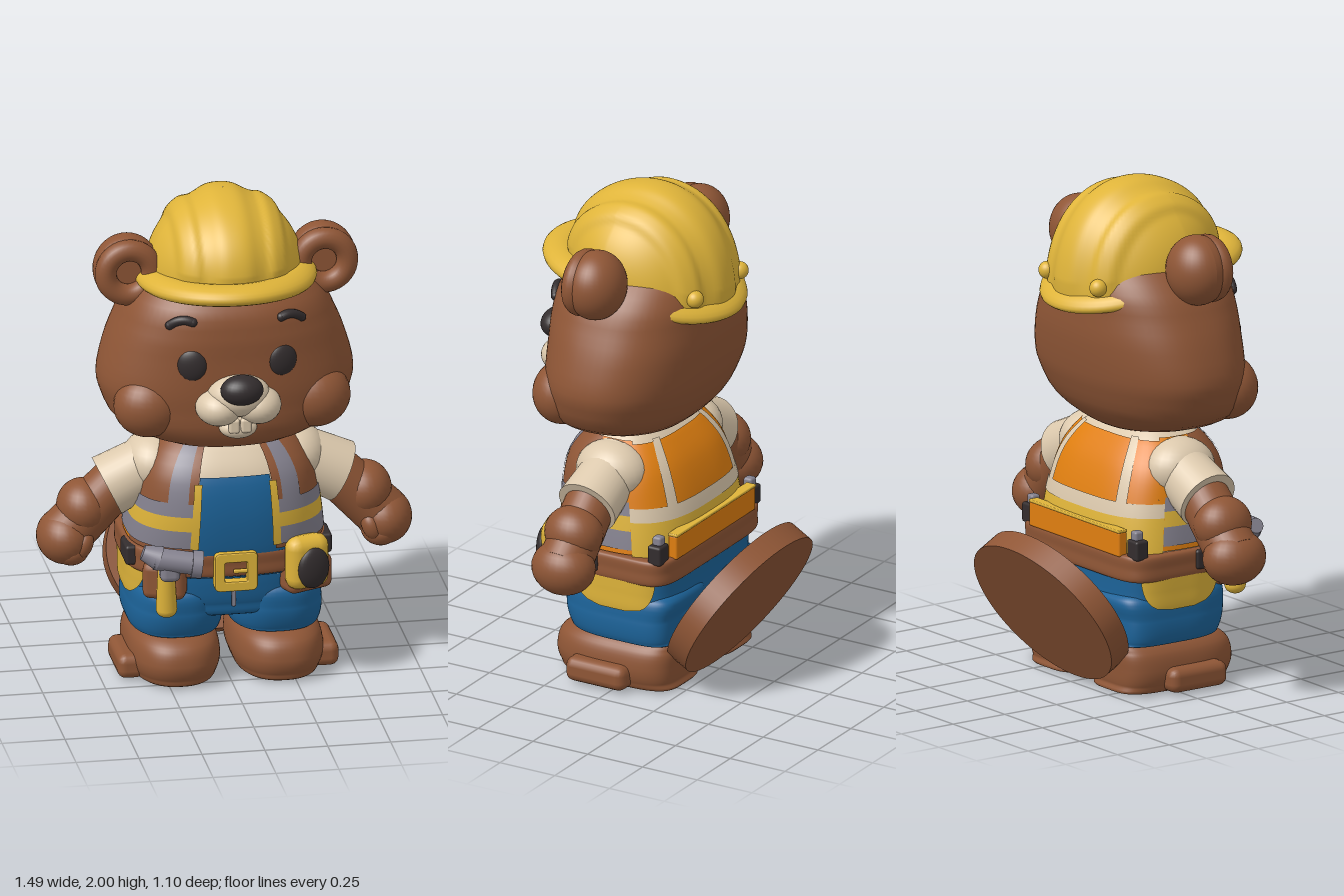
import * as THREE from 'three';
import { ParametricGeometry } from 'three/addons/geometries/ParametricGeometry.js';
import { RoundedBoxGeometry } from 'three/addons/geometries/RoundedBoxGeometry.js';

const mat = (name, color) => Object.assign(new THREE.MeshStandardMaterial({ color }), { name });
const V = (x, y, z) => new THREE.Vector3(x, y, z);

// Catmull-Rom interpolation through rows of numbers, t in 0..1
function rowAt(rows, t) {
  const n = rows.length - 1, s = Math.min(Math.max(t, 0), 1) * n;
  const i = Math.min(Math.floor(s), n - 1), f = s - i;
  const [a, b, c, d] = [rows[Math.max(i - 1, 0)], rows[i], rows[i + 1], rows[Math.min(i + 2, n)]];
  return b.map((p, k) => p + 0.5 * f * (c[k] - a[k] + f * (2 * a[k] - 5 * p + 4 * c[k] - d[k] + f * (3 * (p - c[k]) + d[k] - a[k]))));
}

// Body surface from rows [y, half width, front z, back z]; nf and nb set the squareness of front and back
function surface(rows, nf, nb) {
  const pow = (v, e) => Math.sign(v) * Math.pow(Math.abs(v), e);
  const at = (a, t, off, target) => {
    const [y, rx, zf, zb] = rowAt(rows, t), c = Math.cos(a), e = 2 / (c >= 0 ? nf : nb);
    return target.set((Math.max(rx, 0.004) + off) * pow(Math.sin(a), e), y,
      (zf + zb) / 2 + (Math.max((zf - zb) / 2, 0.004) + off) * pow(c, e));
  };
  const tOf = (y) => {
    let lo = 0, hi = 1;
    for (let i = 0; i < 30; i++) { const m = (lo + hi) / 2; if (rowAt(rows, m)[0] < y) lo = m; else hi = m; }
    return lo;
  };
  return {
    geometry: () => new ParametricGeometry((u, v, p) => at(u * 2 * Math.PI, v, 0, p), 72, 30),
    // thin panel lying on the surface; map(u, v) gives [angle, y]
    panel: (map, off) => new ParametricGeometry((u, v, p) => { const [a, y] = map(u, v); at(a, tOf(y), off, p); }, 24, 12),
  };
}

export function createModel() {
  const root = new THREE.Group();
  root.name = 'builderBear';
  const brown = mat('brown', 0x8f5636), yellow = mat('yellow', 0xdfb43a), cream = mat('cream', 0xdcc9ad);
  const dark = mat('charcoal', 0x332d2e), blue = mat('blue', 0x1c6399), grey = mat('grey', 0x85828f);
  const orange = mat('orange', 0xe07f10);

  const add = (name, geo, m, pos = [0, 0, 0], rot = [0, 0, 0]) => {
    const mesh = new THREE.Mesh(geo, m);
    mesh.name = name;
    mesh.position.set(...pos);
    mesh.rotation.set(...rot);
    root.add(mesh);
    return mesh;
  };
  const ball = (name, m, pos, size, rot) => {
    const b = add(name, new THREE.SphereGeometry(1, 28, 18), m, pos, rot);
    b.scale.set(...size);
  };
  const box = (name, m, pos, size, r, rot) => add(name, new RoundedBoxGeometry(...size, 2, r), m, pos, rot);
  const limb = (name, m, p, q, r1, r2) => {
    const l = add(name, new THREE.CylinderGeometry(r2, r1, p.distanceTo(q), 32, 1), m);
    l.position.copy(p).lerp(q, 0.5);
    l.quaternion.setFromUnitVectors(V(0, 1, 0), q.clone().sub(p).normalize());
  };

  // Head
  const head = surface([[1.0, 0.005, 0.1, 0.09], [1.005, 0.15, 0.27, -0.04], [1.03, 0.3, 0.35, -0.1],
    [1.1, 0.44, 0.39, -0.17], [1.2, 0.495, 0.4, -0.215], [1.28, 0.505, 0.405, -0.235], [1.4, 0.475, 0.405, -0.25],
    [1.5, 0.435, 0.405, -0.25], [1.6, 0.385, 0.385, -0.245], [1.7, 0.29, 0.3, -0.2], [1.78, 0.15, 0.18, -0.08],
    [1.8, 0.005, 0.06, 0.05]], 2.3, 2.3);
  add('head', head.geometry(), brown);

  // Muzzle, teeth and nose
  ball('muzzleTop', cream, [0, 1.265, 0.4], [0.125, 0.085, 0.11]);
  ball('nose', dark, [0, 1.315, 0.485], [0.085, 0.06, 0.065]);
  ball('lowerLip', cream, [0, 1.125, 0.395], [0.075, 0.042, 0.06]);
  for (const s of [-1, 1]) {
    ball('muzzleLobe', cream, [s * 0.078, 1.22, 0.4], [0.092, 0.075, 0.105]);
    box('tooth', cream, [s * 0.024, 1.15, 0.445], [0.045, 0.06, 0.03], 0.012);
    ball('cheek', brown, [s * 0.33, 1.19, 0.26], [0.14, 0.13, 0.12]);
    // Eyes and brows
    ball('eye', dark, [s * 0.18, 1.39, 0.375], [0.062, 0.07, 0.03], [0, s * 0.25, 0]);
    const brow = new THREE.QuadraticBezierCurve3(V(s * 0.175, 1.567, 0.372), V(s * 0.22, 1.59, 0.366), V(s * 0.262, 1.55, 0.342));
    add('eyebrow', new THREE.TubeGeometry(brow, 12, 0.018, 10), dark);
    for (const t of [0, 1]) ball('eyebrowEnd', dark, brow.getPoint(t).toArray(), [0.018, 0.018, 0.018]);
    // Ears: a rounded back with a flat front and a raised rim
    const ear = new THREE.SphereGeometry(1, 36, 28), p = ear.attributes.position;
    for (let i = 0; i < p.count; i++) p.setXYZ(i, p.getX(i) * 0.133, p.getY(i) * 0.14, Math.min(p.getZ(i) * 0.12, 0.045));
    ear.computeVertexNormals();
    add('ear', ear, brown, [s * 0.388, 1.7, 0.08]);
    add('earRim', new THREE.TorusGeometry(0.092, 0.043, 16, 40), brown, [s * 0.388, 1.7, 0.135]);
  }

  // Hard hat: ribbed dome, tilted down at the back
  const tilt = (z) => -Math.max(0, 0.1 - z) * 0.38;
  const dome = new ParametricGeometry((u, v, p) => {
    const a = u * 2 * Math.PI, e = (0.002 + 0.998 * (1 - v)) * Math.PI / 2;
    const x = Math.sin(a) * Math.sin(e), y = Math.cos(e), z = Math.cos(a) * Math.sin(e);
    const bump = (c, w) => Math.exp(-Math.pow((Math.abs(x) - c) / w, 4));
    const m = 1 + (0.045 * bump(0, 0.25) + 0.05 * bump(0.56, 0.13)) * Math.min(1, (y + 0.05) * 4);
    const q = V(x * 0.31 * m, y * 0.307 * m, z * 0.335 * (m + 0.22 * y * y * (1 - y)));
    p.set(q.x, 1.68 + q.y + tilt(q.z + 0.05) * (1 - y), 0.05 + q.z);
  }, 120, 40);
  add('helmetDome', dome, yellow);
  const brim = new ParametricGeometry((u, v, p) => {
    const a = u * 2 * Math.PI, b = v * 2 * Math.PI, r = 0.83 + 0.17 * Math.cos(b);
    const x = 0.36 * r * Math.sin(a), z = 0.09 + 0.415 * r * Math.cos(a);
    p.set(x, 1.695 - 0.25 * x * x + tilt(z) + 0.038 * Math.sin(b), z);
  }, 80, 20);
  add('helmetBrim', brim, yellow);
  for (const s of [-1, 1]) ball('helmetKnob', yellow, [s * 0.17, 1.63, -0.24], [0.035, 0.035, 0.035]);

  // Torso with shirt
  const torso = surface([[0.45, 0.38, 0.3, -0.215], [0.6, 0.37, 0.335, -0.21], [0.75, 0.35, 0.345, -0.185],
    [0.88, 0.325, 0.325, -0.14], [0.97, 0.27, 0.27, -0.08], [1.03, 0.2, 0.2, -0.02]], 2.6, 3);
  add('shirt', torso.geometry(), cream);
  const A = (x) => Math.asin(Math.pow(x / 0.36, 1.3));
  const rect = (name, m, a0, a1, y0, y1, off) =>
    add(name, torso.panel((u, v) => [a0 + (a1 - a0) * u, y0 + (y1 - y0) * v], off), m);
  const bibA = (v) => A(0.25) + (A(0.15) - A(0.25)) * Math.min(1, v * 1.6);
  const bib = torso.panel((u, v) => [(2 * u - 1) * bibA(v), 0.46 + 0.43 * v], 0.01);
  add('bib', bib, blue);

  // Vest front, with trim and reflective strips
  for (const s of [-1, 1]) {
    const strip = (name, m, a0, a1, y0, y1, off) => rect(name, m, Math.min(s * a0, s * a1), Math.max(s * a0, s * a1), y0, y1, off);
    strip('vestFront', brown, A(0.15), 1.45, 0.58, 1.0, 0.016);
    strip('vestSide', orange, 1.45, 2.0, 0.58, 1.0, 0.016);
    strip('vestStrap', grey, A(0.185), A(0.26), 0.6, 1.0, 0.02);
    strip('vestBand', grey, A(0.15), 1.9, 0.735, 0.79, 0.021);
    strip('vestBand', yellow, A(0.15), 1.9, 0.675, 0.735, 0.021);
    strip('vestBand', grey, A(0.15), 1.9, 0.6, 0.675, 0.021);
    strip('vestTrim', yellow, A(0.135), A(0.165), 0.6, 0.87, 0.025);
  }
  // Vest back
  rect('vestBack', orange, 2.0, 2 * Math.PI - 2.0, 0.76, 0.99, 0.016);
  rect('vestBackLower', yellow, 1.9, 2 * Math.PI - 1.9, 0.56, 0.71, 0.018);
  rect('vestBackBand', cream, 1.9, 2 * Math.PI - 1.9, 0.71, 0.765, 0.021);
  for (const s of [-1, 1]) rect('vestBackStrap', cream, Math.PI + s * 0.53 - 0.09, Math.PI + s * 0.53 + 0.09, 0.76, 1.0, 0.022);

  // Arms and sleeves
  for (const s of [-1, 1]) {
    limb('sleeve', cream, V(s * 0.22, 0.905, 0.07), V(s * 0.465, 0.785, 0.075), 0.11, 0.125);
    ball('shoulder', cream, [s * 0.28, 0.88, 0.07], [0.125, 0.12, 0.15]);
    limb('arm', brown, V(s * 0.42, 0.81, 0.075), V(s * 0.63, 0.6, 0.08), 0.1, 0.108);
    ball('elbow', brown, [s * 0.56, 0.71, 0.078], [0.105, 0.11, 0.12]);
    ball('hand', brown, [s * 0.635, 0.59, 0.08], [0.11, 0.11, 0.132]);
    ball('fingers', brown, [s * 0.615, 0.545, 0.1], [0.075, 0.065, 0.1]);
    ball('thumb', brown, [s * 0.575, 0.575, 0.155], [0.04, 0.06, 0.045], [0, 0, s * 0.4]);
  }

  // Trousers and feet
  const hips = surface([[0.27, 0.005, 0.05, 0.04], [0.28, 0.34, 0.25, -0.2], [0.34, 0.375, 0.285, -0.215],
    [0.42, 0.38, 0.3, -0.216], [0.5, 0.382, 0.305, -0.218]], 2.5, 5);
  add('hips', hips.geometry(), blue);
  const leg = surface([[0.2, 0.005, 0.05, 0.04], [0.2, 0.15, 0.24, -0.19], [0.215, 0.182, 0.27, -0.212],
    [0.3, 0.187, 0.292, -0.216], [0.4, 0.16, 0.27, -0.21], [0.42, 0.005, 0.05, 0.04]], 2.5, 5);
  const foot = surface([[0.002, 0.005, 0.05, 0.04], [0.004, 0.14, 0.28, -0.2], [0.04, 0.172, 0.32, -0.215],
    [0.1, 0.182, 0.335, -0.22], [0.17, 0.165, 0.31, -0.22], [0.21, 0.11, 0.22, -0.19], [0.22, 0.005, 0.05, 0.04]], 2.4, 4);
  for (const s of [-1, 1]) {
    add('trouserLeg', leg.geometry(), blue, [s * 0.197, 0, 0]);
    add('foot', foot.geometry(), brown, [s * 0.205, 0, 0]);
    box('footSide', brown, [s * 0.385, 0.06, 0.065], [0.11, 0.1, 0.27], 0.035);
    const pocket = hips.panel((u, v) => [s * Math.PI / 2 + (2 * u - 1) * 0.6 * Math.sqrt(Math.max(0.01, 1 - (1 - v) ** 2)), 0.345 + 0.135 * v], 0.016);
    add('sidePocket', pocket, yellow);
  }
  box('zip', grey, [0, 0.385, 0.3], [0.018, 0.1, 0.02], 0.006);

  // Belt and buckle
  const belt = surface([[0.47, 0.34, 0.26, -0.18], [0.47, 0.395, 0.325, -0.228], [0.52, 0.4, 0.335, -0.232],
    [0.57, 0.395, 0.335, -0.23], [0.57, 0.34, 0.28, -0.18]], 2.6, 7);
  add('belt', belt.geometry(), brown);
  const frame = new THREE.Shape(), hole = new THREE.Path();
  for (const [path, w, h] of [[frame, 0.08, 0.075], [hole, 0.05, 0.045]]) {
    const k = w * 0.75, j = h * 0.75;
    path.moveTo(-k, -h).lineTo(k, -h).quadraticCurveTo(w, -h, w, -j).lineTo(w, j).quadraticCurveTo(w, h, k, h)
      .lineTo(-k, h).quadraticCurveTo(-w, h, -w, j).lineTo(-w, -j).quadraticCurveTo(-w, -h, -k, -h);
  }
  frame.holes.push(hole);
  add('buckle', new THREE.ExtrudeGeometry(frame, { depth: 0.03, bevelSize: 0.006, bevelThickness: 0.008, bevelSegments: 2 }), yellow, [0, 0.5, 0.325]);
  box('buckleTongue', yellow, [0.02, 0.5, 0.35], [0.06, 0.016, 0.016], 0.006);

  // Hammer in its holster
  box('hammerHolster', brown, [-0.27, 0.46, 0.28], [0.17, 0.15, 0.1], 0.03, [0, -0.35, 0]);
  limb('hammerHandle', yellow, V(-0.28, 0.55, 0.36), V(-0.275, 0.36, 0.345), 0.032, 0.042);
  ball('hammerHandleEnd', yellow, [-0.275, 0.36, 0.345], [0.042, 0.035, 0.042]);
  limb('hammerHead', grey, V(-0.33, 0.59, 0.385), V(-0.17, 0.565, 0.405), 0.045, 0.045);
  limb('hammerFace', grey, V(-0.185, 0.565, 0.403), V(-0.145, 0.56, 0.408), 0.055, 0.055);
  limb('hammerPeen', grey, V(-0.375, 0.615, 0.375), V(-0.31, 0.59, 0.387), 0.03, 0.05);
  box('hammerNeck', grey, [-0.27, 0.545, 0.385], [0.08, 0.1, 0.08], 0.025);

  // Tape measure on its pouch
  box('tapePouch', brown, [0.29, 0.45, 0.27], [0.2, 0.14, 0.11], 0.03, [0, 0.4, 0]);
  box('tapeCase', yellow, [0.285, 0.515, 0.325], [0.18, 0.22, 0.1], 0.05, [0, 0.3, 0]);
  ball('tapeFace', dark, [0.305, 0.5, 0.365], [0.068, 0.085, 0.03], [0, 0.3, 0]);

  // Back pouch and side tools
  box('backPouch', orange, [0, 0.615, -0.215], [0.6, 0.1, 0.04], 0.008);
  box('backPouchEdge', yellow, [0, 0.667, -0.215], [0.6, 0.012, 0.044], 0.004);
  for (const s of [-1, 1]) {
    box('sidePouch', dark, [s * 0.385, 0.53, 0.13], [0.05, 0.08, 0.13], 0.012);
    box('sideTool', dark, [s * 0.35, 0.6, -0.18], [0.07, 0.08, 0.06], 0.01);
    box('sideToolTip', grey, [s * 0.345, 0.655, -0.18], [0.04, 0.04, 0.04], 0.01);
  }

  // Flat round tail leaning backwards
  const tail = add('tail', new THREE.CylinderGeometry(1, 1, 0.095, 64), brown, [0, 0.325, -0.344], [Math.PI / 3, 0, 0]);
  tail.scale.set(0.4, 1, 0.325);
  return root;
}
